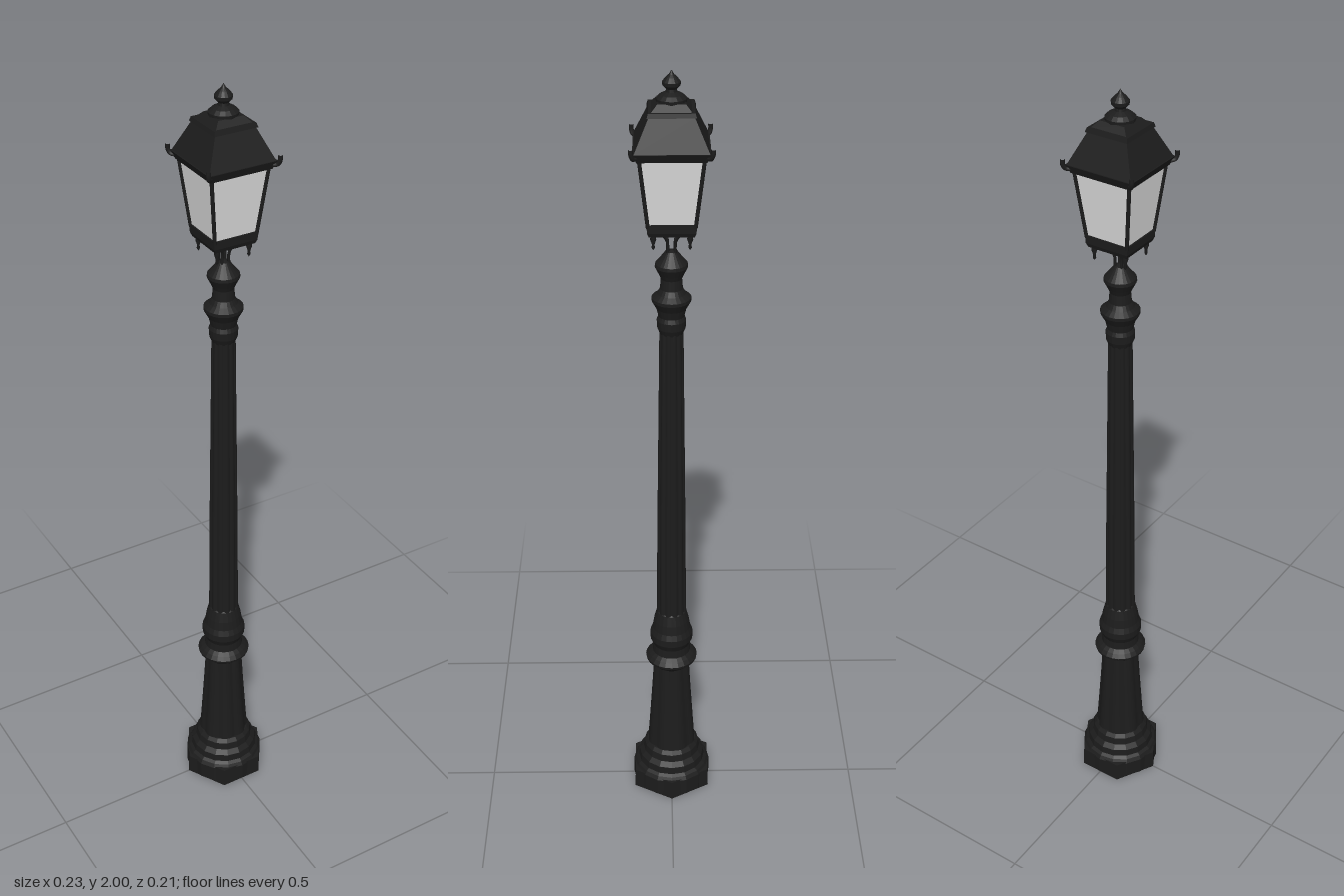
import * as THREE from 'three';

const iron = new THREE.MeshStandardMaterial({ color: 0x1c1c1c });
iron.name = 'black iron';
const glass = new THREE.MeshStandardMaterial({ color: 0xdcdcdc });
glass.name = 'frosted glass';

export function createModel() {
  const model = new THREE.Group();
  model.name = 'streetLamp';

  const add = (name, geometry, material = iron, parent = model) => {
    const mesh = new THREE.Mesh(geometry, material);
    mesh.name = name;
    parent.add(mesh);
    return mesh;
  };
  // Turned part from [radius, y] pairs, listed bottom to top
  const turned = (name, points, sides = 24, flat = true) => {
    const geo = new THREE.LatheGeometry(points.map(([r, y]) => new THREE.Vector2(r, y)), sides);
    const shaped = flat ? geo.toNonIndexed() : geo;
    if (flat) shaped.computeVertexNormals();
    return add(name, shaped);
  };
  // Square frustum from half-widths and heights
  const square = (name, y0, half0, y1, half1, material = iron, parent = model) => {
    const geo = new THREE.CylinderGeometry(half1 * Math.SQRT2, half0 * Math.SQRT2, y1 - y0, 4).toNonIndexed();
    geo.computeVertexNormals();
    geo.rotateY(Math.PI / 4).translate(0, (y0 + y1) / 2, 0);
    return add(name, geo, material, parent);
  };
  // Tube along a smooth path
  const tube = (name, points, radius, parent) => add(name, new THREE.TubeGeometry(
    new THREE.CatmullRomCurve3(points.map((p) => new THREE.Vector3(...p))), 12, radius, 6), iron, parent);
  // Fluted column: lathe whose radius ripples around the axis
  const fluted = (name, points, flutes, depth) => {
    const geo = new THREE.LatheGeometry(points.map(([r, y]) => new THREE.Vector2(r, y)), flutes * 6);
    const p = geo.attributes.position;
    for (let i = 0; i < p.count; i++) {
      const a = Math.atan2(p.getZ(i), p.getX(i));
      const k = 1 - depth * Math.pow(Math.abs(Math.cos(a * flutes / 2)), 4);
      p.setXYZ(i, p.getX(i) * k, p.getY(i), p.getZ(i) * k);
    }
    geo.computeVertexNormals();
    return add(name, geo);
  };

  // Six-sided plinth with its corners on the x axis
  const plinth = new THREE.CylinderGeometry(0.112, 0.113, 0.055, 6).toNonIndexed();
  plinth.computeVertexNormals();
  add('plinth', plinth.rotateY(Math.PI / 6).scale(1, 1, 1.03).translate(0, 0.0275, 0)).rotation.y = 0;
  plinth.rotateY(0);
  plinth.computeBoundingBox();
  if (plinth.boundingBox.max.x < plinth.boundingBox.max.z) plinth.rotateY(Math.PI / 2);

  turned('plinthMoulding', [
    [0, 0.004], [0.104, 0.004], [0.104, 0.052], [0.098, 0.062], [0.09, 0.068], [0.088, 0.088],
    [0.077, 0.1], [0.074, 0.12], [0.066, 0.13], [0, 0.13],
  ], 16);

  // Post
  fluted('pedestal', [[0.066, 0.125], [0.062, 0.18], [0.054, 0.3], [0.048, 0.4]], 8, 0.08);
  turned('pedestalCollar', [
    [0.046, 0.39], [0.054, 0.4], [0.066, 0.41], [0.068, 0.418], [0.06, 0.428], [0.05, 0.436],
    [0.048, 0.458], [0.056, 0.476], [0.056, 0.495], [0.05, 0.51], [0.046, 0.535], [0.039, 0.562], [0.034, 0.566],
  ]);
  fluted('shaft', [[0.039, 0.55], [0.037, 0.8], [0.033, 1.1], [0.029, 1.4]], 12, 0.1);
  turned('capital', [
    [0.028, 1.37], [0.034, 1.385], [0.035, 1.405], [0.031, 1.415], [0.036, 1.435], [0.047, 1.455],
    [0.047, 1.463], [0.034, 1.473], [0.027, 1.485], [0.025, 1.51], [0.03, 1.522], [0.039, 1.54],
    [0.038, 1.548], [0.026, 1.562], [0.014, 1.578], [0, 1.582],
  ]);

  // Lantern
  const lantern = new THREE.Group();
  lantern.name = 'lantern';
  model.add(lantern);
  square('lanternFloor', 1.632, 0.052, 1.642, 0.056, iron, lantern);
  square('lanternSill', 1.642, 0.056, 1.662, 0.057, iron, lantern);
  square('glassPanes', 1.66, 0.053, 1.825, 0.072, glass, lantern);
  square('eaves', 1.816, 0.078, 1.836, 0.087, iron, lantern);
  square('roof', 1.836, 0.084, 1.908, 0.051, iron, lantern);
  square('roofCap', 1.908, 0.055, 1.918, 0.052, iron, lantern);
  square('roofCrown', 1.918, 0.045, 1.932, 0.032, iron, lantern);

  // Corner bars, horns, legs and pendants
  for (const sx of [-1, 1]) for (const sz of [-1, 1]) {
    const at = (r, y) => [sx * r, y, sz * r];
    tube('cornerBar', [at(0.054, 1.655), at(0.073, 1.825)], 0.0045, lantern);
    tube('roofHorn', [at(0.078, 1.826), at(0.086, 1.828), at(0.09, 1.838), at(0.09, 1.85)], 0.0055, lantern);
    tube('supportLeg', [at(0.009, 1.565), at(0.01, 1.605), at(0.022, 1.625), at(0.04, 1.637)], 0.0035, lantern);
    const pendant = add('pendant', new THREE.LatheGeometry(
      [[0, 0], [0.004, 0.006], [0.003, 0.014], [0.007, 0.026], [0.006, 0.04]]
        .map(([r, y]) => new THREE.Vector2(r, y)), 8), iron, lantern);
    pendant.position.set(sx * 0.042, 1.597, sz * 0.042);
  }

  // Finial
  turned('finial', [
    [0.034, 1.926], [0.035, 1.938], [0.026, 1.946], [0.013, 1.952], [0.012, 1.958], [0.02, 1.966],
    [0.021, 1.974], [0.013, 1.984], [0.006, 1.99], [0, 2],
  ], 16);

  return model;
}
